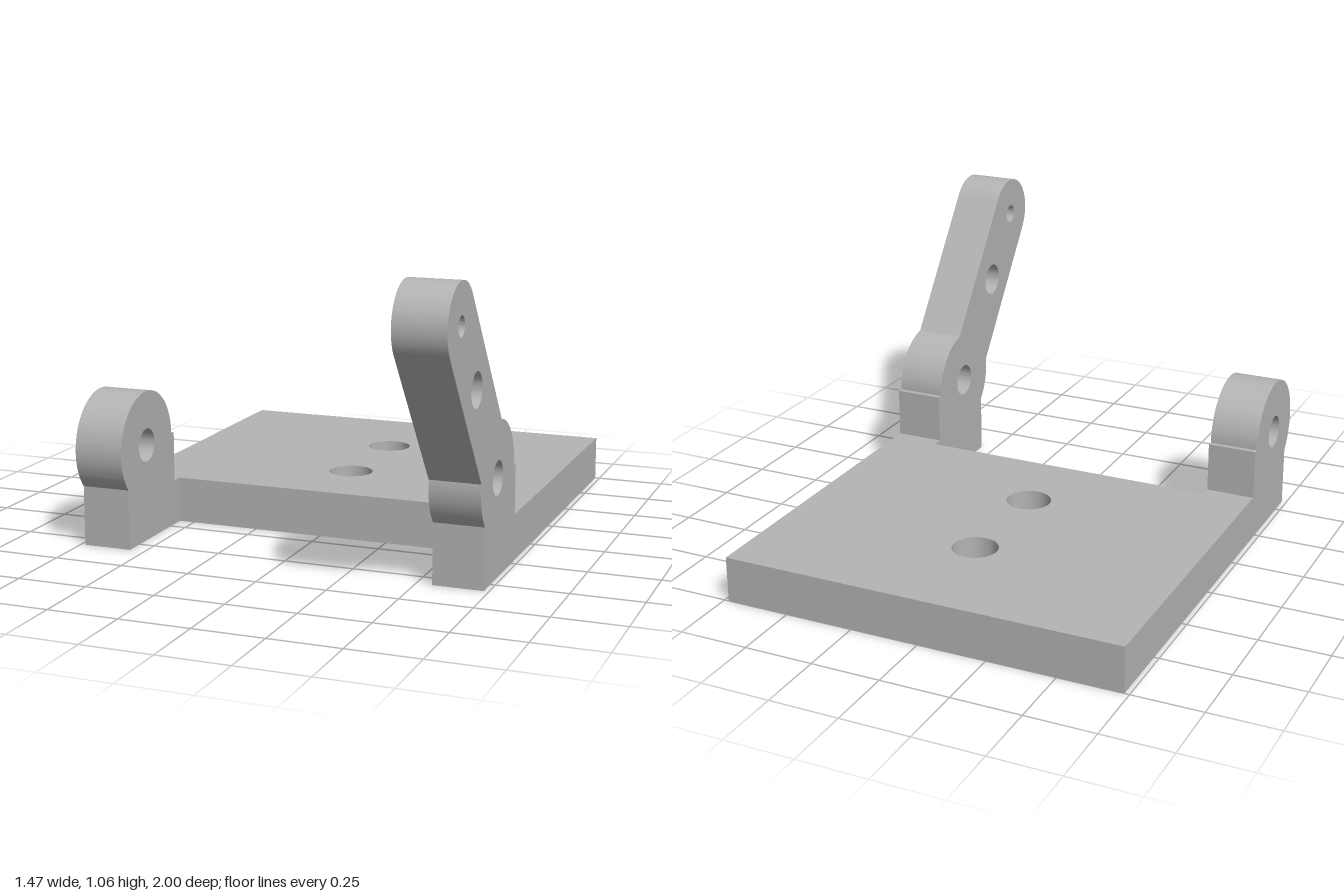
import * as THREE from 'three';
import { toCreasedNormals } from 'three/addons/utils/BufferGeometryUtils.js';

const HALF_WIDTH = 0.733, EAR_WIDTH = 0.177;
const PLATE_H = 0.165, PLATE_FRONT = 0.175;
const PIVOT = { z: 0.43, y: 0.345, r: 0.195 };
const TIP = { z: 0.86, y: 0.92, r: 0.14 };

const grey = new THREE.MeshStandardMaterial({ color: 0xb4b4b4 });
grey.name = 'grey';

function addHole(shape, x, y, r) {
  shape.holes.push(new THREE.Path().absarc(x, y, r, 0, Math.PI * 2, true));
}

function extrude(shape, depth) {
  return new THREE.ExtrudeGeometry(shape, { depth, bevelEnabled: false, curveSegments: 40 });
}

function part(geometry, name) {
  const mesh = new THREE.Mesh(toCreasedNormals(geometry, 0.35), grey);
  mesh.name = name;
  return mesh;
}

// Flat base with two round holes
function basePlate() {
  const s = new THREE.Shape();
  s.moveTo(-HALF_WIDTH, -PLATE_FRONT);
  s.lineTo(HALF_WIDTH, -PLATE_FRONT);
  s.lineTo(HALF_WIDTH, 1);
  s.lineTo(-HALF_WIDTH, 1);
  s.closePath();
  for (const z of [-0.575, -0.145]) addHole(s, 0, -z, 0.081);
  return part(extrude(s, PLATE_H).rotateX(-Math.PI / 2), 'basePlate');
}

// Rounded ear on a square foot, drawn in (z, y); optionally grows a slanted arm
function ear(rightEdge, withArm, name) {
  const { z, y, r } = PIVOT;
  const footFront = 0.575, footBack = 0.215;
  const start = -Math.acos((footFront - z) / r);
  const s = new THREE.Shape();
  s.moveTo(PLATE_FRONT, 0);
  s.lineTo(footFront, 0);
  if (withArm) {
    const tilt = Math.atan2(TIP.y - y, TIP.z - z);
    const spread = Math.asin(TIP.r / r);
    s.absarc(z, y, r, start, tilt - spread, false);
    s.absarc(TIP.z, TIP.y, TIP.r, tilt - Math.PI / 2, tilt + Math.PI / 2, false);
    s.absarc(z, y, r, tilt + spread, Math.PI, false);
    addHole(s, TIP.z, TIP.y, 0.034);
    addHole(s, 0.688, 0.69, 0.06);
  } else {
    s.absarc(z, y, r, start, Math.PI, false);
  }
  s.lineTo(footBack, y);
  s.lineTo(footBack, PLATE_H);
  s.lineTo(PLATE_FRONT, PLATE_H);
  s.closePath();
  addHole(s, z, y, 0.06);
  const g = extrude(s, EAR_WIDTH).rotateY(-Math.PI / 2).translate(rightEdge, 0, 0);
  return part(g, name);
}

export function createModel() {
  const model = new THREE.Group();
  model.name = 'hingeBracket';
  model.add(
    basePlate(),
    ear(HALF_WIDTH, true, 'leftEarWithArm'),
    ear(-HALF_WIDTH + EAR_WIDTH, false, 'rightEar')
  );
  return model;
}
